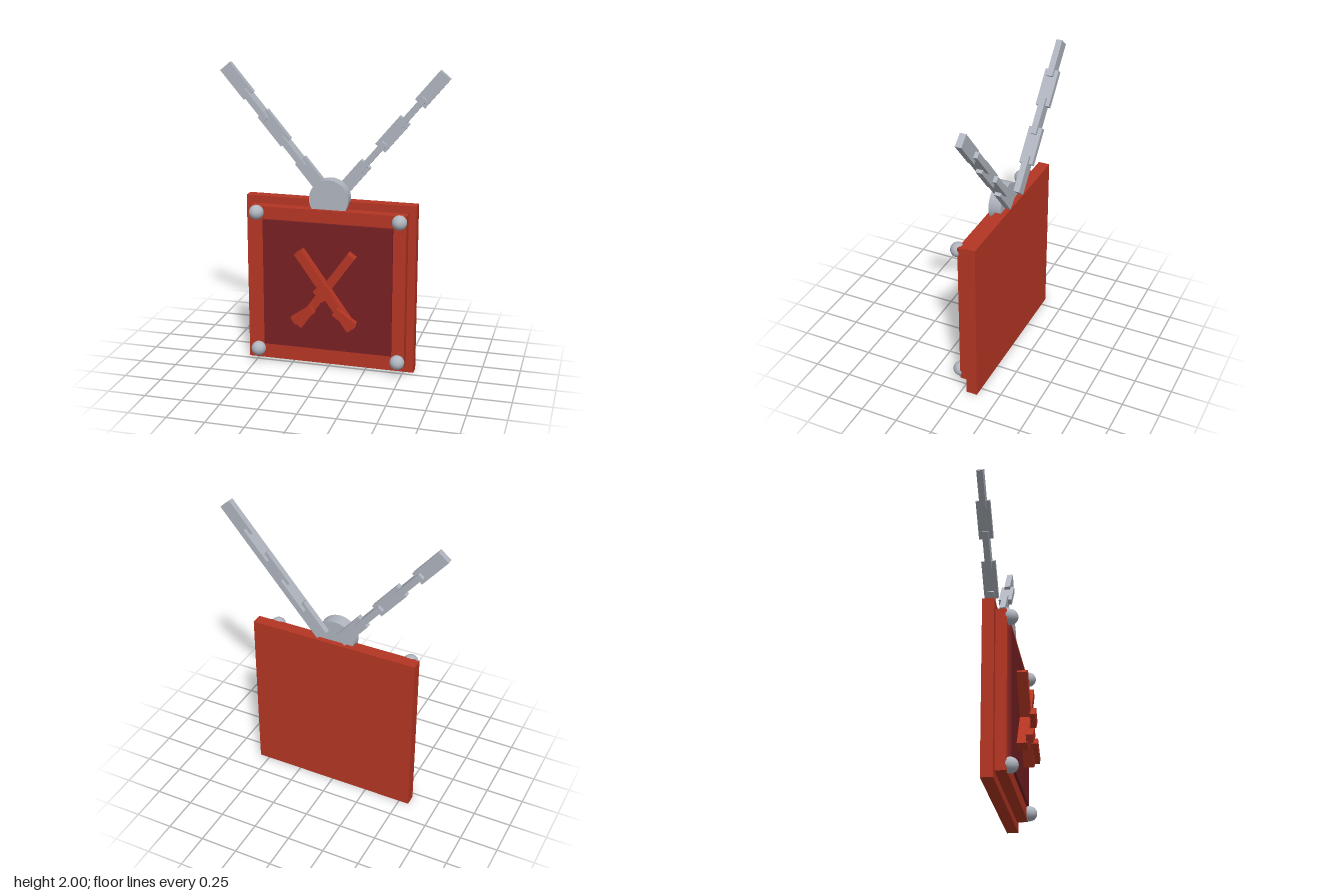
import * as THREE from 'three';

export function createModel() {
  const model = new THREE.Group();
  model.name = 'hangingSign';

  const paint = (name, color) => {
    const m = new THREE.MeshStandardMaterial({ color });
    m.name = name;
    return m;
  };
  const red = paint('red', 0xb53623);
  const darkRed = paint('dark red', 0x772023);
  const metal = paint('metal', 0xb0b5bf);

  const add = (name, geometry, material, x, y, z) => {
    const mesh = new THREE.Mesh(geometry, material);
    mesh.name = name;
    mesh.position.set(x, y, z);
    model.add(mesh);
    return mesh;
  };
  // Box given by its size, centre, back and front depth, and roll about z
  const slab = (name, material, w, h, x, y, back, front, roll = 0) => {
    const mesh = add(name, new THREE.BoxGeometry(w, h, front - back), material, x, y, (back + front) / 2);
    mesh.rotation.z = roll;
    return mesh;
  };
  const deg = THREE.MathUtils.degToRad;

  // Stepped board with a dark inset panel
  slab('backBoard', red, 1.136, 1.14, 0, 0.57, -0.11, -0.035);
  slab('frontBoard', red, 1.034, 1.034, 0, 0.572, -0.035, 0.035);
  slab('darkPanel', darkRed, 0.866, 0.868, 0, 0.571, 0.035, 0.052);

  // Round studs at the corners
  const stud = new THREE.SphereGeometry(0.049, 24, 16);
  for (const x of [-0.475, 0.475])
    for (const y of [0.098, 1.05]) add('cornerStud', stud, metal, x, y, 0.051);

  // Crossed emblem: bars, angled feet and a centre diamond
  for (const s of [-1, 1]) {
    slab('emblemBar', red, 0.615, 0.057, 0, 0.569, 0.05, s > 0 ? 0.12 : 0.1195, s * deg(54.7));
    slab('emblemFoot', red, 0.157, 0.055, s * 0.139, 0.402, 0.11, 0.152, -s * deg(35));
  }
  slab('emblemDiamond', red, 0.095, 0.095, 0, 0.573, 0.115, 0.152, deg(45));

  // Hanger disc on the top edge
  const disc = add('hangerDisc', new THREE.CylinderGeometry(0.13, 0.13, 0.084, 40), metal, 0, 1.155, -0.032);
  disc.rotation.x = Math.PI / 2;

  // Two chains of links, alternately flat and on edge
  for (const s of [-1, 1])
    for (let i = 0; i < 5; i++) {
      const flat = i % 2 === 0;
      const across = flat ? 0.085 : 0.04;
      const half = flat ? 0.02 : 0.045;
      slab('chainLink', metal, 0.242, across, s * (0.142 + i * 0.1245), 1.288 + i * 0.148,
        -0.108 - half, -0.108 + half, s * deg(50));
    }

  return model;
}
